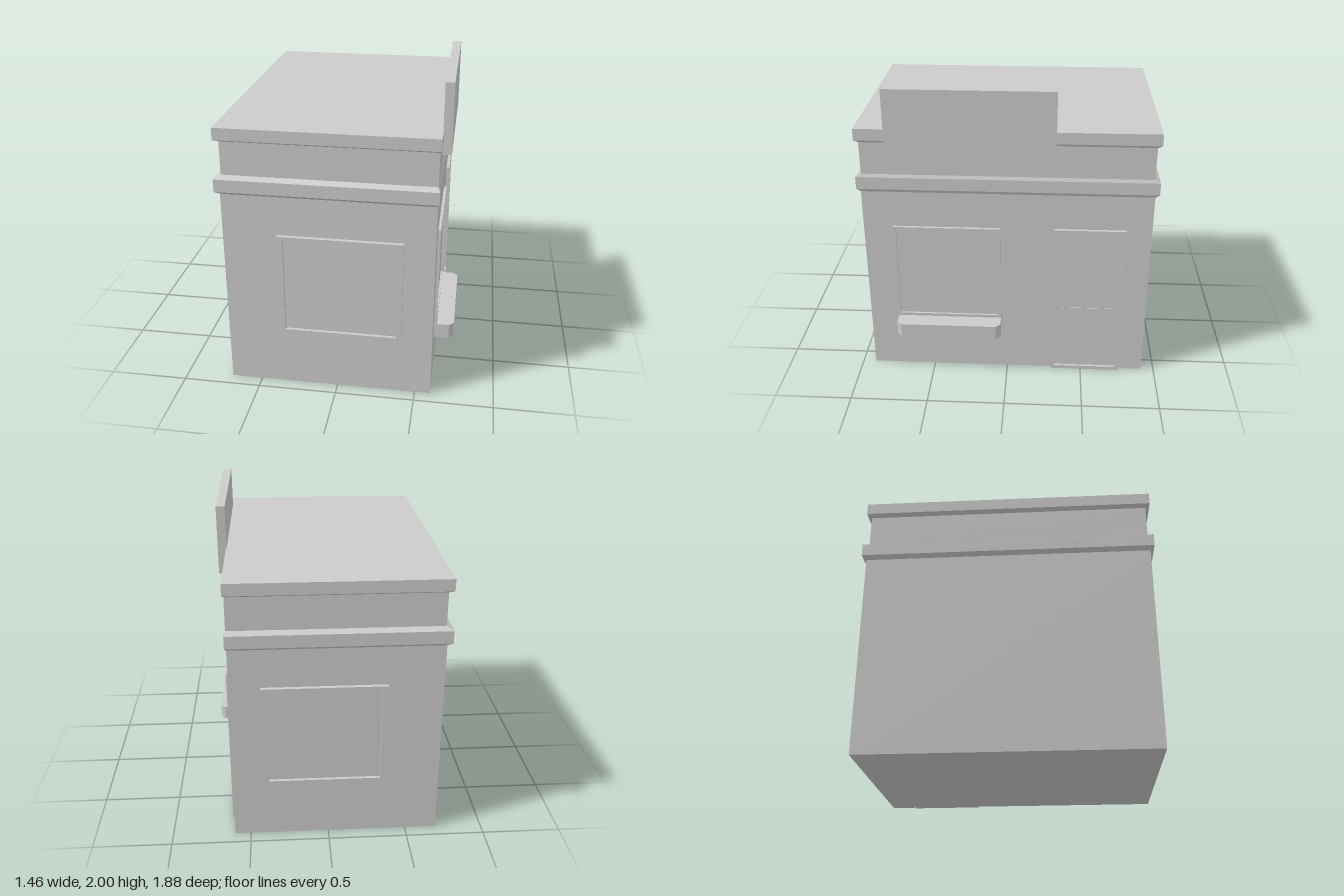
import * as THREE from 'three';

const material = new THREE.MeshStandardMaterial({ color: 0xcccccc, flatShading: true });

function addMesh(parent, name, geometry) {
  const mesh = new THREE.Mesh(geometry, material);
  mesh.name = name;
  parent.add(mesh);
  return mesh;
}

function addBox(parent, name, x0, x1, y0, y1, z0, z1) {
  const mesh = addMesh(parent, name, new THREE.BoxGeometry(x1 - x0, y1 - y0, z1 - z0));
  mesh.position.set((x0 + x1) / 2, (y0 + y1) / 2, (z0 + z1) / 2);
}

// Stack of rectangular sections [y, left x, right x, half depth], optionally capped
function loft(sections, capBottom, capTop) {
  const rings = sections.map(([y, x0, x1, z]) => [[x1, y, z], [x1, y, -z], [x0, y, -z], [x0, y, z]]);
  const points = [];
  const quad = (a, b, c, d) => points.push(...a, ...b, ...c, ...a, ...c, ...d);
  for (let i = 0; i < rings.length - 1; i++) {
    for (let j = 0; j < 4; j++) {
      const k = (j + 1) % 4;
      quad(rings[i][j], rings[i][k], rings[i + 1][k], rings[i + 1][j]);
    }
  }
  if (capBottom) quad(...[...rings[0]].reverse());
  if (capTop) quad(...rings[rings.length - 1]);
  const geometry = new THREE.BufferGeometry();
  geometry.setAttribute('position', new THREE.Float32BufferAttribute(points, 3));
  geometry.computeVertexNormals();
  return geometry;
}

function rectangle(path, u0, u1, v0, v1) {
  path.moveTo(u0, v0);
  path.lineTo(u1, v0);
  path.lineTo(u1, v1);
  path.lineTo(u0, v1);
  path.closePath();
  return path;
}

// Raised frame around a recessed pane, in wall coordinates (u across, v up)
function framedOpening(name, outer, inner, depth) {
  const group = new THREE.Group();
  group.name = name;
  const shape = rectangle(new THREE.Shape(), ...outer);
  shape.holes.push(rectangle(new THREE.Path(), ...inner));
  addMesh(group, name + 'Frame', new THREE.ExtrudeGeometry(shape, { depth, bevelEnabled: false }));
  addBox(group, name + 'Pane', ...inner, 0, 0.005);
  return group;
}

export function createModel() {
  const model = new THREE.Group();
  model.name = 'shop';

  // Walls and the two cornices
  addMesh(model, 'walls', loft([[0, -0.7, 0.6, 0.915], [1.31, -0.7, 0.6, 0.915]], true, false));
  addMesh(model, 'lowerCornice', loft([
    [1.31, -0.7, 0.6, 0.915], [1.33, -0.73, 0.61, 0.94],
    [1.41, -0.73, 0.61, 0.94], [1.43, -0.69, 0.6, 0.905],
  ], false, false));
  addMesh(model, 'upperWalls', loft([[1.43, -0.69, 0.6, 0.905], [1.64, -0.69, 0.6, 0.905]], false, false));
  addMesh(model, 'roof', loft([
    [1.64, -0.69, 0.6, 0.905], [1.655, -0.72, 0.61, 0.932], [1.73, -0.72, 0.61, 0.932],
  ], false, true));

  // Matching windows on the front and back walls
  const front = framedOpening('frontWindow', [-0.36, 0.41, 0.38, 1.06], [-0.325, 0.375, 0.41, 1.03], 0.025);
  front.position.z = 0.915;
  const back = framedOpening('backWindow', [-0.41, 0.36, 0.38, 1.06], [-0.375, 0.325, 0.41, 1.03], 0.025);
  back.position.z = -0.915;
  back.rotation.y = Math.PI;

  // Serving window and door on the side wall
  const serving = framedOpening('servingWindow', [-0.725, -0.04, 0.4, 1.07], [-0.71, -0.06, 0.42, 1.06], 0.018);
  const door = framedOpening('door', [0.3, 0.755, 0, 1.075], [0.32, 0.73, 0.025, 1.055], 0.02);
  addBox(door, 'doorLowerPanel', 0.36, 0.68, 0.08, 0.49, 0.004, 0.009);
  for (const part of [serving, door]) {
    part.position.x = 0.6;
    part.rotation.y = Math.PI / 2;
  }
  model.add(front, back, serving, door);

  // Counter with clipped outer corners, drawn in plan and laid flat
  const plan = new THREE.Shape([
    [0.6, -0.725], [0.695, -0.725], [0.725, -0.695], [0.725, -0.07], [0.695, -0.04], [0.6, -0.04],
  ].map(([x, y]) => new THREE.Vector2(x, y)));
  const counter = addMesh(model, 'counter', new THREE.ExtrudeGeometry(plan, { depth: 0.095, bevelEnabled: false }));
  counter.rotation.x = -Math.PI / 2;
  counter.position.y = 0.305;

  // Blank sign board above the side wall
  addBox(model, 'signBoard', 0.605, 0.66, 1.565, 2, -0.3, 0.735);

  return model;
}
